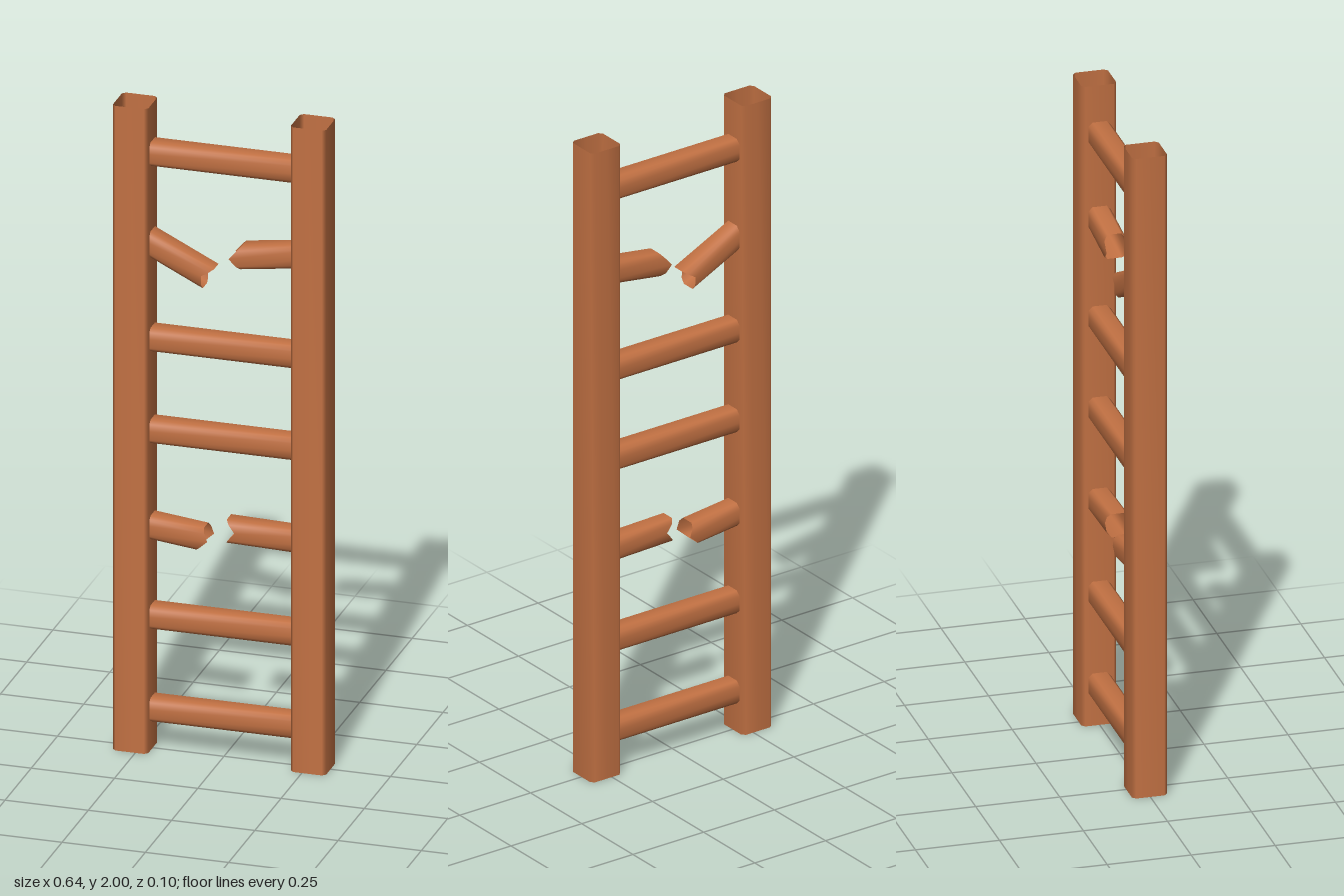
import * as THREE from 'three';

// Chamfered rectangle (y, z), counter-clockwise, with a middle point on the z sides
function section(hy, hz, c) {
  return [
    [hy, -hz + c], [hy, hz - c], [hy - c, hz], [0, hz], [-hy + c, hz],
    [-hy, hz - c], [-hy, -hz + c], [-hy + c, -hz], [0, -hz], [hy - c, -hz],
  ];
}

// Open hollow beam along x; start and end give x for each section height y
function beam(points, start, end) {
  const pos = [], idx = [], n = points.length;
  for (const [y, z] of points) pos.push(start(y), y, z, end(y), y, z);
  for (let i = 0; i < n; i++) {
    const a = 2 * i, b = 2 * ((i + 1) % n);
    idx.push(a, b, a + 1, b, b + 1, a + 1);
  }
  const g = new THREE.BufferGeometry();
  g.setAttribute('position', new THREE.Float32BufferAttribute(pos, 3));
  g.setIndex(idx);
  g.computeVertexNormals();
  return g;
}

export function createModel() {
  const group = new THREE.Group();
  const wood = new THREE.MeshStandardMaterial({ color: 0xc27143, side: THREE.DoubleSide });
  wood.name = 'wood';

  const add = (name, geometry, x, y, angle = 0) => {
    const mesh = new THREE.Mesh(geometry, wood);
    mesh.name = name;
    mesh.position.set(x, y, 0);
    mesh.rotation.z = angle;
    group.add(mesh);
  };

  // Side rails
  const railGeometry = beam(section(0.053, 0.052, 0.01), () => -1, () => 1);
  add('leftRail', railGeometry, 0.267, 1, Math.PI / 2);
  add('rightRail', railGeometry, -0.267, 1, Math.PI / 2);

  // Whole rungs
  const H = 0.036;
  const rungSection = section(H, 0.033, 0.012);
  const rungGeometry = beam(rungSection, () => -0.29, () => 0.29);
  for (const y of [0.127, 0.414, 0.99, 1.275, 1.85]) add('rung', rungGeometry, 0, y);

  // Broken rungs: jagged end given at the top, middle and bottom of the stub
  const jagged = (top, mid, bottom) => (y) => mid + ((y > 0 ? top : bottom) - mid) * Math.abs(y) / H;
  const stubs = [
    { side: -1, y: 1.57, angle: -26, end: [0.195, 0.172, 0.192] },
    { side: 1, y: 1.585, angle: 8, end: [0.15, 0.192, 0.165] },
    { side: -1, y: 0.692, angle: -6.4, end: [0.157, 0.175, 0.143] },
    { side: 1, y: 0.704, angle: -1.5, end: [0.2, 0.173, 0.2] },
  ];
  for (const { side, y, angle, end } of stubs) {
    const tip = jagged(...end.map((v) => -side * v));
    const root = () => side * 0.078;
    const geometry = side < 0 ? beam(rungSection, root, tip) : beam(rungSection, tip, root);
    add('brokenRung', geometry, side * 0.214, y, THREE.MathUtils.degToRad(angle));
  }
  return group;
}
